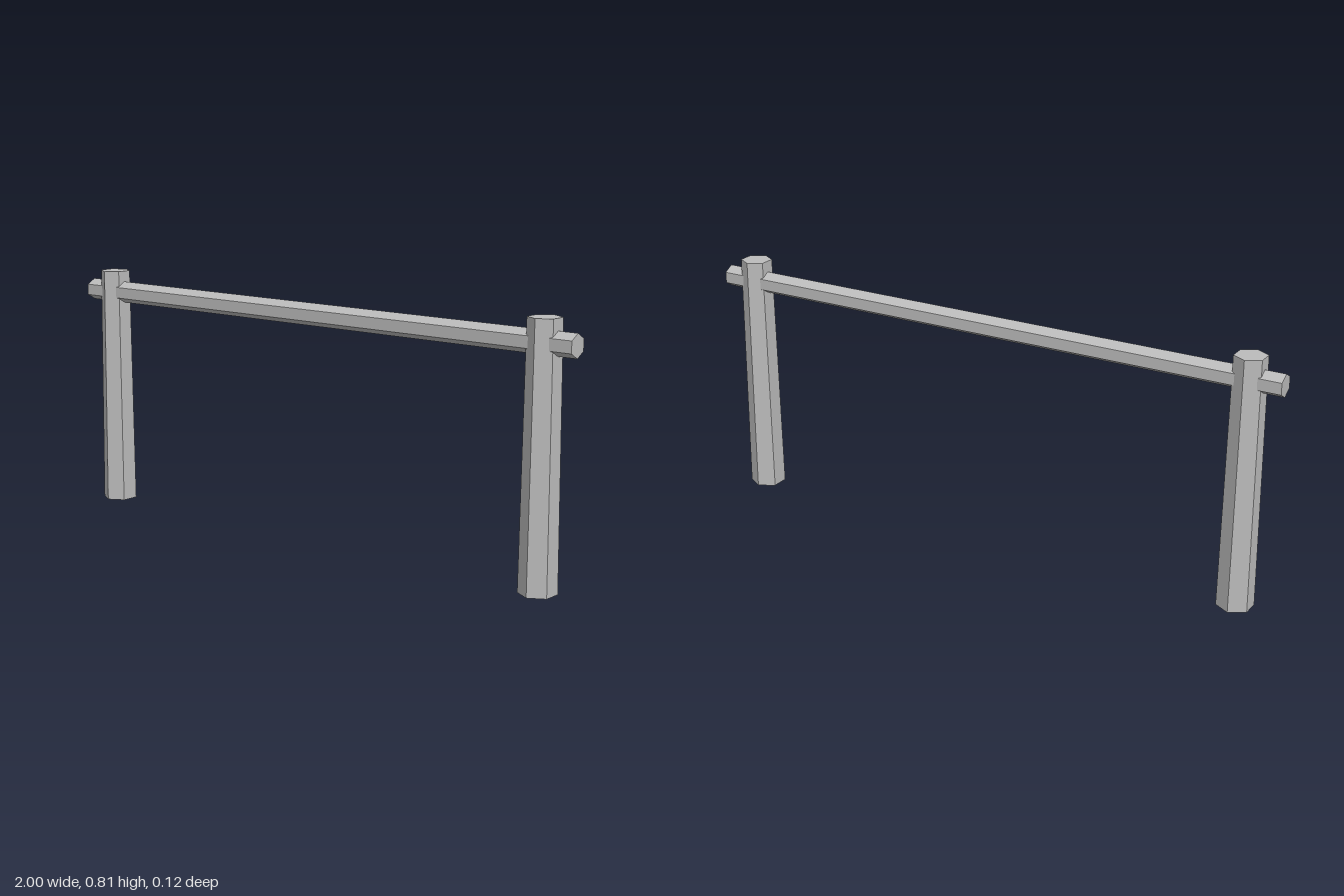
import * as THREE from 'three';

export function createModel() {
  const group = new THREE.Group();
  const grey = new THREE.MeshStandardMaterial({ color: 0xbbbbbb, flatShading: true });
  grey.name = 'plain grey';

  // Two tapered hexagonal posts, corners facing front and back
  const height = 0.815;
  const postGeometry = new THREE.CylinderGeometry(0.0515, 0.059, height, 6);
  for (const [name, side] of [['leftPost', 1], ['rightPost', -1]]) {
    const post = new THREE.Mesh(postGeometry, grey);
    post.name = name;
    post.position.set(side * 0.89, height / 2, 0);
    group.add(post);
  }

  // Hexagonal rail running through both posts, corners facing up and down
  const railGeometry = new THREE.CylinderGeometry(0.0365, 0.0365, 2, 6);
  railGeometry.rotateY(Math.PI / 2).rotateZ(Math.PI / 2);
  const rail = new THREE.Mesh(railGeometry, grey);
  rail.name = 'rail';
  rail.position.y = 0.742;
  group.add(rail);

  return group;
}
